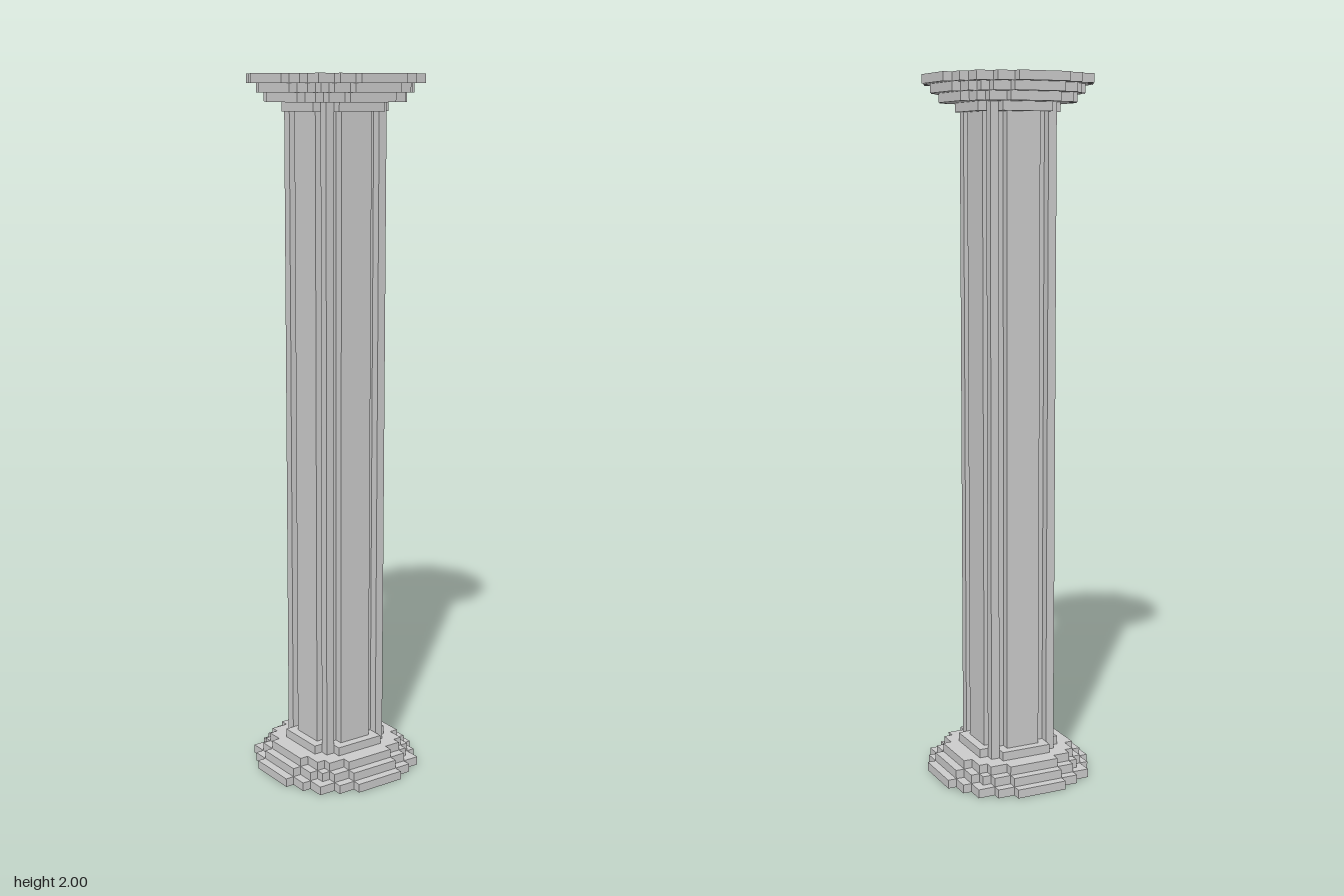
import * as THREE from 'three';

const U = 0.025; // one block
const HEIGHT = 80; // in blocks

// Quadrant corners of each stepped disc, widest first, in blocks
const DISCS = [
  [[9, 3], [8, 5], [7, 7], [5, 8], [3, 9]],
  [[8, 3], [7, 5], [6, 6], [5, 7], [3, 8]],
  [[7, 3], [6, 5], [5, 6], [3, 7]],
  [[5, 3], [4, 4], [3, 5]],
];

// Slab one block thick, the quadrant outline turned four times
function discGeometry(corners) {
  const quadrant = [];
  corners.forEach(([x, y], i) => {
    quadrant.push([x, y]);
    if (i < corners.length - 1) quadrant.push([corners[i + 1][0], y]);
  });
  const points = [];
  for (let q = 0; q < 4; q++) {
    for (const [x, y] of quadrant) {
      points.push(new THREE.Vector2(x * U, y * U).rotateAround(new THREE.Vector2(), q * Math.PI / 2));
    }
  }
  const geometry = new THREE.ExtrudeGeometry(new THREE.Shape(points), { depth: U, bevelEnabled: false });
  return geometry.rotateX(-Math.PI / 2);
}

export function createModel() {
  const material = new THREE.MeshStandardMaterial({ color: 0xcccccc, flatShading: true });
  const column = new THREE.Group();
  column.name = 'column';

  // Stepped base and its mirrored capital
  const base = new THREE.Group();
  base.name = 'base';
  const capital = new THREE.Group();
  capital.name = 'capital';
  DISCS.forEach((corners, i) => {
    const geometry = discGeometry(corners);
    const low = new THREE.Mesh(geometry, material);
    low.name = `baseStep${i + 1}`;
    low.position.y = i * U;
    base.add(low);
    const high = new THREE.Mesh(geometry, material);
    high.name = `capitalStep${i + 1}`;
    high.position.y = (HEIGHT - 1 - i) * U;
    capital.add(high);
  });

  // Shaft: square core, raised panel on each side, post at each corner
  const shaft = new THREE.Group();
  shaft.name = 'shaft';
  const shaftHeight = HEIGHT - 2 * DISCS.length;
  const addBar = (name, width, depth, x, z, turn = 0) => {
    const bar = new THREE.Mesh(new THREE.BoxGeometry(width * U, shaftHeight * U, depth * U), material);
    bar.name = name;
    bar.position.set(x * U, HEIGHT / 2 * U, z * U);
    bar.rotation.y = turn;
    shaft.add(bar);
  };
  addBar('core', 6, 6, 0, 0);
  for (let i = 0; i < 4; i++) {
    const a = i * Math.PI / 2;
    addBar(`panel${i + 1}`, 4, 1, 3.5 * Math.sin(a), 3.5 * Math.cos(a), a);
    addBar(`cornerPost${i + 1}`, 1, 1, i % 2 ? 3.5 : -3.5, i < 2 ? 3.5 : -3.5);
  }

  column.add(base, shaft, capital);
  return column;
}
